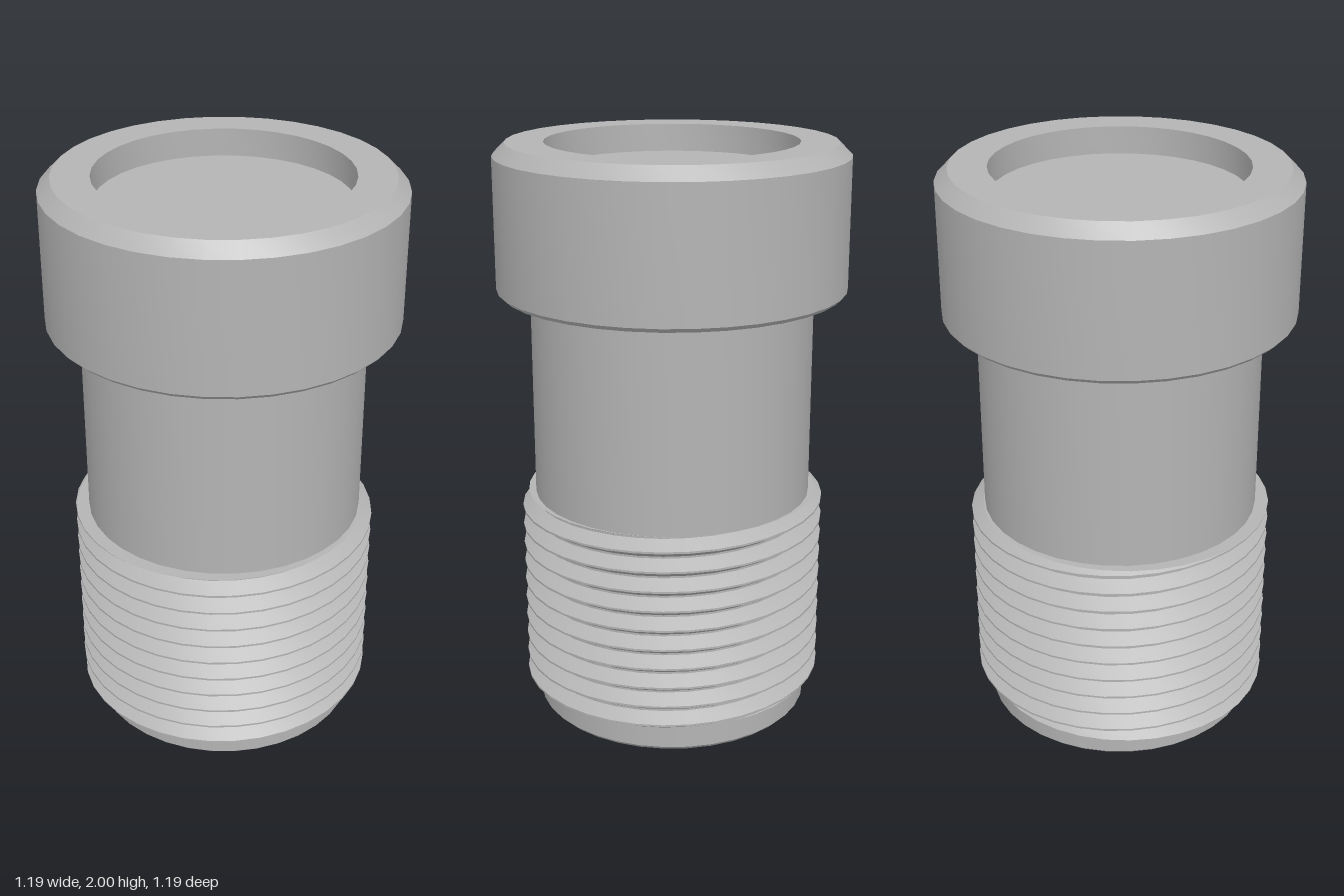
import * as THREE from 'three';
import { toCreasedNormals } from 'three/addons/utils/BufferGeometryUtils.js';

const SIDES = 36;
const v = (x, y) => new THREE.Vector2(x, y);

// Turned part from a profile of [radius, height] pairs, running bottom to top
function turned(name, profile, material) {
  const lathe = new THREE.LatheGeometry(profile.map(([r, y]) => v(r, y)), SIDES);
  const mesh = new THREE.Mesh(toCreasedNormals(lathe, 0.45), material);
  mesh.name = name;
  return mesh;
}

// Helical V thread, cut flat at both ends
function threadGeometry({ root, crest, bottom, top, pitch }) {
  const turns = Math.ceil((top - bottom) / pitch) + 2;
  // Kinks of one tooth: [fraction of pitch, radius]
  const tooth = [[0, root], [0.1, root], [0.5, crest], [0.6, crest], [1, root]];
  const radiusAt = (y, phase) => {
    const f = (((y - bottom) / pitch - phase) % 1 + 1) % 1;
    const i = tooth.findIndex(([t], k) => k > 0 && f <= t);
    const [t0, r0] = tooth[i - 1], [t1, r1] = tooth[i];
    return r0 + (r1 - r0) * (f - t0) / (t1 - t0);
  };
  const positions = [], index = [];
  let rows = 0;
  for (let s = 0; s <= SIDES; s++) {
    const phase = s / SIDES, a = -phase * Math.PI * 2;
    const section = [[root - 0.02, bottom]];
    for (let n = -1; n < turns; n++) {
      for (const [t] of tooth.slice(0, -1)) {
        const y = THREE.MathUtils.clamp(bottom + (n + t + phase) * pitch, bottom, top);
        section.push([radiusAt(y, phase), y]);
      }
    }
    section.push([root - 0.02, top]);
    rows = section.length;
    for (const [r, y] of section) positions.push(r * Math.cos(a), y, r * Math.sin(a));
  }
  for (let s = 0; s < SIDES; s++) {
    for (let k = 0; k < rows - 1; k++) {
      const p = s * rows + k, q = p + rows;
      index.push(p, q, p + 1, q, q + 1, p + 1);
    }
  }
  const geometry = new THREE.BufferGeometry();
  geometry.setAttribute('position', new THREE.Float32BufferAttribute(positions, 3));
  geometry.setIndex(index);
  return toCreasedNormals(geometry, 0.45);
}

export function createModel() {
  const group = new THREE.Group();
  group.name = 'capScrew';
  const steel = new THREE.MeshStandardMaterial({ color: 0xb4b4b4 });
  steel.name = 'steel grey';

  // Head with chamfered rims and a shallow round recess
  group.add(turned('head', [
    [0.47, 1.5], [0.578, 1.5], [0.593, 1.515], [0.593, 1.957],
    [0.55, 2], [0.423, 2], [0.423, 1.905], [0, 1.905],
  ], steel));

  // Plain shank with a chamfered tip
  group.add(turned('shank', [
    [0, 0], [0.465, 0], [0.48, 0.015], [0.48, 1.5],
  ], steel));

  // Thread around the lower shank
  const thread = new THREE.Mesh(
    threadGeometry({ root: 0.481, crest: 0.527, bottom: 0.09, top: 0.79, pitch: 0.07 }), steel);
  thread.name = 'thread';
  group.add(thread);
  return group;
}
